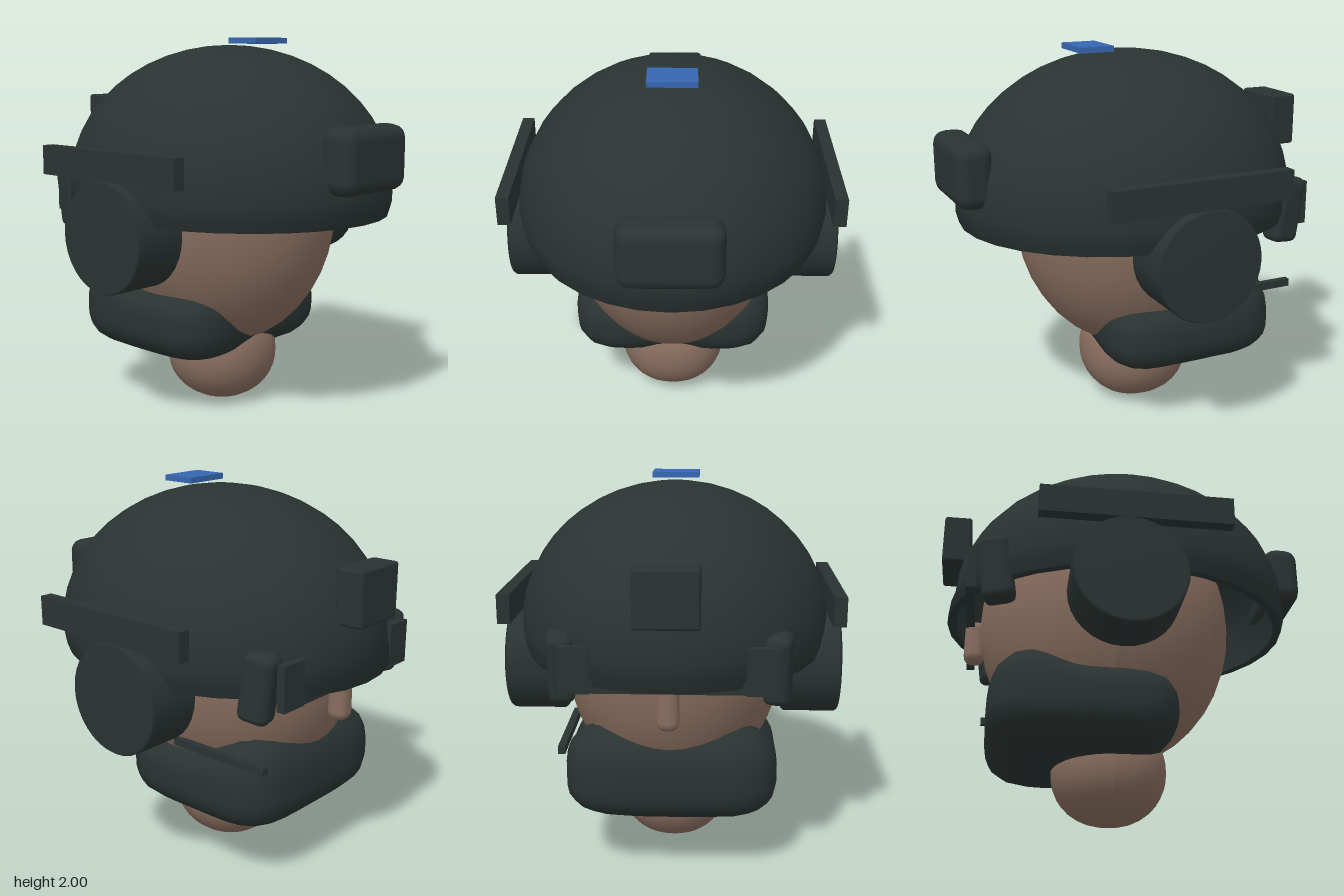
import * as THREE from 'three';
import { RoundedBoxGeometry } from 'three/addons/geometries/RoundedBoxGeometry.js';

const mat = (name, color) => {
  const m = new THREE.MeshStandardMaterial({ color });
  m.name = name;
  return m;
};

export function createModel() {
  const group = new THREE.Group();
  const dark = mat('dark green grey', 0x2a3332);
  const skin = mat('skin', 0x886d5e);
  const blue = mat('blue', 0x3667b3);

  const add = (name, geo, material, x = 0, y = 0, z = 0) => {
    const m = new THREE.Mesh(geo, material);
    m.name = name;
    m.position.set(x, y, z);
    group.add(m);
    return m;
  };
  const box = (w, h, d) => new THREE.BoxGeometry(w, h, d);
  const rounded = (w, h, d, r) => new RoundedBoxGeometry(w, h, d, 2, r);

  // Sphere squared off by power k in height and m in plan, then reshaped by an optional rule
  const blob = (rx, ry, rz, k, m, rule) => {
    const g = new THREE.SphereGeometry(1, 40, 20);
    const p = g.attributes.position;
    const v = new THREE.Vector3();
    for (let i = 0; i < p.count; i++) {
      v.fromBufferAttribute(p, i);
      const plan = (Math.abs(v.x) ** m + Math.abs(v.z) ** m) ** (k / m);
      const s = (plan + Math.abs(v.y) ** k) ** (-1 / k);
      v.set(v.x * s * rx, v.y * s * ry, v.z * s * rz);
      if (rule) rule(v);
      p.setXYZ(i, v.x, v.y, v.z);
    }
    g.computeVertexNormals();
    return g;
  };

  // Head, neck and nose
  add('head', blob(0.585, 0.775, 0.68, 2, 2), skin, 0, 1.1, -0.08);
  add('neck', blob(0.295, 0.275, 0.3, 2.15, 2.15), skin, 0, 0.28, -0.055);
  add('nose', rounded(0.11, 0.24, 0.11, 0.045), skin, 0, 0.98, -0.785);

  // Scarf: raised towards the face, slightly hollowed under the nape
  add('scarf', blob(0.55, 0.235, 0.49, 3, 5, (v) => {
    if (v.y > 0) v.y *= 1 + 0.45 * THREE.MathUtils.smoothstep(-v.z, 0, 0.32);
    if (v.z > 0) v.z -= 0.045 * Math.exp(-((v.x / 0.25) ** 2)) * (v.z / 0.49);
  }), dark, 0, 0.51, -0.215);

  // Helmet: outer dome, inner lining and the lip between them
  const dome = [[0.955, 1.09], [0.985, 1.15]];
  for (let i = 0; i <= 12; i++) {
    const a = (i / 12) * Math.PI / 2;
    dome.push([Math.max(Math.cos(a), 0), 1.22 + 0.745 * Math.sin(a)]);
  }
  const lathe = (pts) => {
    const g = new THREE.LatheGeometry(pts.map(([x, y]) => new THREE.Vector2(x, y)), 32);
    g.scale(0.82, 1, 0.915);
    // the rim runs straighter at the front and flares at the rear
    const p = g.attributes.position;
    for (let i = 0; i < p.count; i++) {
      const y = p.getY(i), z = p.getZ(i);
      if (y < 1.2) p.setZ(i, z * (1 + (z < 0 ? 0.58 : 0.24) * (1.22 - y)));
    }
    return g;
  };
  add('helmetShell', lathe(dome), dark);
  add('helmetLining', lathe([[0, 1.9], [0.5, 1.8], [0.8, 1.55], [0.91, 1.3], [0.91, 1.09]]), dark);
  add('helmetLip', lathe([[0.91, 1.09], [0.955, 1.09]]), dark);

  // Helmet fittings
  add('pouch', rounded(0.505, 0.33, 0.19, 0.07), dark, 0, 1.415, 0.895);
  add('mountBox', rounded(0.31, 0.28, 0.15, 0.015), dark, 0, 1.54, -0.915);
  add('topPatch', box(0.25, 0.03, 0.185), blue, 0, 1.985, 0.205);

  // Paired side parts
  const cup = new THREE.LatheGeometry([[0, -0.148], [0.275, -0.148], [0.285, -0.135],
    [0.285, 0.135], [0.275, 0.148], [0, 0.148]].map(([x, y]) => new THREE.Vector2(x, y)), 32);
  cup.rotateZ(Math.PI / 2);
  for (const s of [1, -1]) {
    add('earCup', cup, dark, s * 0.727, 1.022, -0.055);
    add('sideRail', box(0.065, 0.15, 0.965), dark, s * 0.833, 1.38, -0.022);
    const pad = add('eyewearPad', rounded(0.13, 0.35, 0.165, 0.04), dark, s * 0.525, 1.148, -0.69);
    pad.rotation.set(-0.14, s * 0.2, 0);
    add('eyewearHinge', box(0.15, 0.23, 0.045), dark, s * 0.445, 1.165, -0.812);
  }
  add('eyewearBar', box(0.9, 0.06, 0.045), dark, 0, 1.085, -0.812);

  // Microphone boom on one side
  add('microphoneBoom', box(0.035, 0.04, 0.59), dark, 0.525, 0.73, -0.44);

  return group;
}
